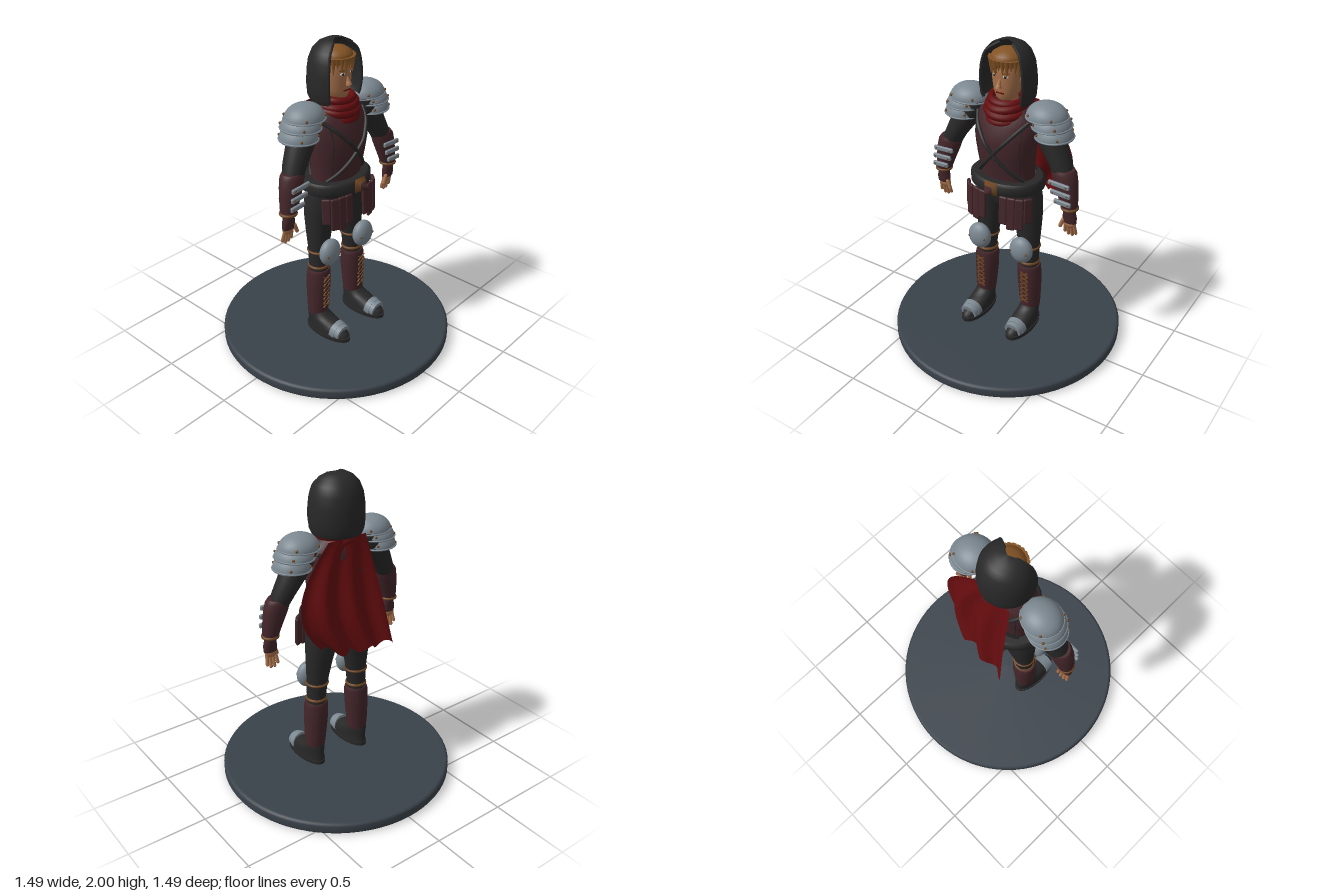
import * as THREE from 'three';
import { RoundedBoxGeometry } from 'three/addons/geometries/RoundedBoxGeometry.js';

const mat = (name, color, side = THREE.FrontSide) => {
  const m = new THREE.MeshStandardMaterial({ color, side });
  m.name = name;
  return m;
};

// Smooth closed body from horizontal oval rings [y, cx, cz, rx, rz], bottom to top
function loft(rings, s = 1, seg = 28) {
  const pos = [], idx = [];
  const ring = ([y, cx, cz, rx, rz]) => {
    for (let i = 0; i < seg; i++) {
      const a = (i / seg) * Math.PI * 2;
      pos.push(cx * s + rx * Math.cos(a), y, cz + rz * Math.sin(a));
    }
  };
  rings.forEach(ring);
  for (let r = 0; r < rings.length - 1; r++) for (let i = 0; i < seg; i++) {
    const j = (i + 1) % seg, a = r * seg + i, b = r * seg + j;
    idx.push(a, a + seg, b, b, a + seg, b + seg);
  }
  [rings[0], rings[rings.length - 1]].forEach((r, top) => {
    const start = pos.length / 3;
    ring(r);
    pos.push(r[1] * s, r[0], r[2]);
    for (let i = 0; i < seg; i++) {
      const a = start + i, b = start + (i + 1) % seg;
      idx.push(start + seg, top ? b : a, top ? a : b);
    }
  });
  const g = new THREE.BufferGeometry();
  g.setAttribute('position', new THREE.Float32BufferAttribute(pos, 3));
  g.setIndex(idx);
  g.computeVertexNormals();
  return g;
}

// Depth of a lofted body at (x, y); dir 1 = front, -1 = back
function surfaceZ(rings, x, y, dir = 1) {
  let k = 0;
  while (k < rings.length - 2 && rings[k + 1][0] < y) k++;
  const t = (y - rings[k][0]) / (rings[k + 1][0] - rings[k][0]);
  const [, , cz, rx, rz] = rings[k].map((v, i) => v + (rings[k + 1][i] - v) * t);
  return cz + dir * rz * Math.sqrt(Math.max(0, 1 - (x / rx) ** 2));
}

export function createModel() {
  const root = new THREE.Group();
  root.name = 'hoodedWarrior';
  const black = mat('blackCloth', 0x282828, THREE.DoubleSide), maroon = mat('maroonLeather', 0x44262a);
  const red = mat('redCloth', 0x640c0e, THREE.DoubleSide), steel = mat('steel', 0x7c8891, THREE.DoubleSide);
  const stone = mat('slateBase', 0x3a424a), skin = mat('skin', 0xa8714b);
  const brown = mat('brownLeather', 0x704622), hair = mat('hair', 0x835324), white = mat('eyeWhite', 0xc8c8c4);

  const add = (name, geo, m, p = [0, 0, 0], r = [0, 0, 0], sc = [1, 1, 1]) => {
    const mesh = new THREE.Mesh(geo, m);
    mesh.name = name;
    mesh.position.set(...p);
    mesh.rotation.set(...r);
    mesh.scale.set(...sc);
    root.add(mesh);
    return mesh;
  };
  const ball = (name, m, p, sc) => add(name, new THREE.SphereGeometry(1, 24, 16), m, p, [0, 0, 0], sc);
  const hoop = (name, m, p, r, tube, sc = [1, 1, 1], rot = [Math.PI / 2, 0, 0]) =>
    add(name, new THREE.TorusGeometry(r, tube, 10, 36), m, p, rot, sc);
  const tube = (name, m, pts, r) => add(name, new THREE.TubeGeometry(
    new THREE.CatmullRomCurve3(pts.map(p => new THREE.Vector3(...p))), 24, r, 8), m);

  // Display base
  add('base', new THREE.LatheGeometry([[0, 0.005], [0.725, 0.005], [0.738, 0.01], [0.745, 0.022], [0.745, 0.062],
    [0.738, 0.074], [0.725, 0.08], [0, 0.08]].map(p => new THREE.Vector2(...p)), 72), stone);

  // Torso, pelvis and belt
  const body = [[1.08, 0, 0, 0.185, 0.12], [1.18, 0, 0, 0.175, 0.13], [1.3, 0, 0.01, 0.185, 0.145],
    [1.42, 0, 0.015, 0.2, 0.155], [1.52, 0, 0, 0.205, 0.14], [1.58, 0, -0.01, 0.18, 0.115], [1.64, 0, -0.01, 0.09, 0.08]];
  add('vest', loft(body, 1, 40), maroon);
  add('pelvis', loft([[0.93, 0, -0.015, 0.1, 0.07], [0.98, 0, -0.015, 0.19, 0.105],
    [1.05, 0, -0.01, 0.215, 0.12], [1.12, 0, 0, 0.2, 0.125]]), black);
  add('belt', loft([[1.085, 0, 0, 0.225, 0.17], [1.1, 0, 0, 0.24, 0.19], [1.15, 0, 0, 0.24, 0.19],
    [1.165, 0, 0, 0.225, 0.17]], 1, 40), black);
  add('buckle', new THREE.CylinderGeometry(0.035, 0.062, 0.03, 4), brown, [0, 1.135, 0.205], [Math.PI / 2, Math.PI / 4, 0]);
  add('buckleCentre', new THREE.ConeGeometry(0.035, 0.04, 4), maroon, [0, 1.135, 0.24], [Math.PI / 2, Math.PI / 4, 0]);

  // Head and face
  add('neck', new THREE.CylinderGeometry(0.055, 0.06, 0.14, 20), skin, [0, 1.62, -0.01]);
  const head = [[1.65, 0, 0.025, 0.04, 0.035], [1.67, 0, 0.015, 0.062, 0.06], [1.71, 0, 0.005, 0.08, 0.08],
    [1.76, 0, 0, 0.09, 0.087], [1.82, 0, 0, 0.096, 0.09], [1.88, 0, 0, 0.094, 0.088], [1.92, 0, 0, 0.075, 0.07]];
  add('head', loft(head), skin);
  add('nose', new THREE.ConeGeometry(0.019, 0.07, 8), skin, [0, 1.775, 0.09], [-0.3, 0, 0]);
  ball('noseTip', skin, [0, 1.752, 0.1], [0.016, 0.012, 0.014]);
  add('mouth', new THREE.BoxGeometry(0.05, 0.008, 0.008), red, [0, 1.708, 0.083]);
  add('hairCap', loft([[1.865, 0, 0, 0.097, 0.093], [1.9, 0, 0, 0.101, 0.1], [1.925, 0, 0, 0.09, 0.092],
    [1.945, 0, 0, 0.06, 0.06], [1.953, 0, 0, 0.02, 0.02]]), hair);
  for (let i = -5; i <= 5; i++) {
    const a = i * 0.25, len = 0.065 + 0.02 * ((i + 6) % 3);
    add('hairLock', new THREE.ConeGeometry(0.019, len, 6), hair,
      [Math.sin(a) * 0.097, 1.905 - len / 2, Math.cos(a) * 0.098], [Math.PI, 0, 0]);
  }

  // Hood, open at the front
  const gap = 1.08;
  add('hood', new THREE.LatheGeometry([[0.15, 1.64], [0.163, 1.67], [0.168, 1.73], [0.166, 1.81], [0.156, 1.88],
    [0.134, 1.935], [0.1, 1.972], [0.055, 1.994], [0, 2]].map(p => new THREE.Vector2(...p)), 40, gap, Math.PI * 2 - 2 * gap),
    black, [0, 0, -0.005]);
  for (const s of [-1, 1]) {
    const at = (r, y) => [s * r * Math.sin(gap), y, r * Math.cos(gap) - 0.005];
    tube('hoodRim', black, [at(0.145, 1.65), at(0.161, 1.73), at(0.158, 1.82), at(0.148, 1.88), at(0.125, 1.935), at(0.05, 1.985)], 0.009);
  }

  // Wrapped scarf
  [[1.655, 0.095, 0.022], [1.625, 0.108, 0.024], [1.59, 0.113, 0.025], [1.555, 0.108, 0.024]].forEach(([y, r, t], i) =>
    hoop('scarfFold', red, [0, y, 0.003 + i * 0.003], r, t, [1.02, 1, 1.1], [Math.PI / 2 + 0.08 + i * 0.03, i % 2 ? 0.05 : -0.05, 0]));

  // Cape: a pleated sheet swept towards the left side
  const cape = new THREE.PlaneGeometry(1, 1, 56, 24), cp = cape.attributes.position;
  for (let i = 0; i < cp.count; i++) {
    const u = cp.getX(i) + 0.5, v = 0.5 - cp.getY(i);
    const left = -0.13 - 0.09 * v, right = 0.14 + 0.27 * Math.sin(v * 2.25) - 0.11 * v * v;
    const hem = 0.022 * Math.sin(u * 22) * v ** 6;
    const y = 1.63 - (0.68 - 0.05 * u * u) * v + hem;
    const z = -0.115 - 0.145 * v + 0.075 * v * u ** 4 + 0.024 * Math.min(1, v * 1.6) * Math.sin(u * 17 - 1.6);
    cp.setXYZ(i, left + (right - left) * u, y, z);
  }
  cape.computeVertexNormals();
  add('cape', cape, red);

  for (const s of [-1, 1]) {
    // Eyes and brows
    add('eyeWhite', new THREE.SphereGeometry(1, 16, 10), white, [s * 0.037, 1.81, 0.081], [0, s * 0.35, 0], [0.016, 0.009, 0.006]);
    ball('pupil', black, [s * 0.036, 1.81, 0.086], [0.007, 0.008, 0.004]);
    add('eyebrow', new THREE.BoxGeometry(0.042, 0.009, 0.009), hair, [s * 0.038, 1.832, 0.083], [0, s * 0.35, s * 0.1]);
    ball('ear', skin, [s * 0.096, 1.785, -0.005], [0.012, 0.03, 0.02]);

    // Crossed chest straps and vest seams, front and back
    for (const dir of [1, -1]) {
      const pts = [], seam = [];
      for (let i = 0; i <= 8; i++) {
        const t = i / 8, x = s * (0.175 - 0.33 * t), y = 1.55 - 0.38 * t;
        pts.push([x, y, surfaceZ(body, x, y, dir) + dir * 0.006]);
        const sx = s * (0.155 - 0.02 * t), sy = 1.52 - 0.35 * t;
        seam.push([sx, sy, surfaceZ(body, sx, sy, dir)]);
      }
      tube('chestStrap', black, pts, 0.012);
      tube('vestSeam', black, seam, 0.004);
    }

    // Hanging leather strips below the belt
    [[0.075, 0.19, 0.172, 0.1], [0.125, 0.22, 0.163, 0.25], [0.175, 0.21, 0.15, 0.45], [0.213, 0.17, 0.115, 0.9]].forEach(([x, h, z, ry]) =>
      add('beltStrip', new RoundedBoxGeometry(0.054, h, 0.022, 3, 0.01), maroon, [s * x, 1.09 - h / 2, z], [-0.04, s * ry, 0]));

    // Legs
    add('leg', loft([[0.5, 0.16, -0.005, 0.058, 0.06], [0.6, 0.158, -0.005, 0.062, 0.062], [0.7, 0.152, -0.008, 0.07, 0.066],
      [0.82, 0.143, -0.014, 0.084, 0.08], [0.93, 0.13, -0.018, 0.1, 0.094], [1.03, 0.115, -0.015, 0.108, 0.108],
      [1.1, 0.11, -0.01, 0.1, 0.1]], s), black);
    add('shinGuard', loft([[0.22, 0.172, -0.002, 0.062, 0.066], [0.28, 0.17, -0.003, 0.068, 0.07], [0.42, 0.164, -0.003, 0.077, 0.077],
      [0.52, 0.16, -0.003, 0.077, 0.075], [0.54, 0.16, -0.003, 0.07, 0.068]], s), maroon);
    for (let i = 0; i < 7; i++) for (const d of [-1, 1])
      add('lace', new THREE.BoxGeometry(0.06, 0.006, 0.008), brown, [s * 0.167, 0.29 + i * 0.034, 0.068 + i * 0.001], [0, 0, d * 0.5]);
    hoop('calfStrap', brown, [s * 0.158, 0.565, -0.005], 0.058, 0.011);
    hoop('kneeStrap', brown, [s * 0.154, 0.675, -0.006], 0.066, 0.009);
    ball('kneeGuard', steel, [s * 0.155, 0.69, 0.09], [0.079, 0.088, 0.052]);
    for (const d of [-1, 1]) ball('kneeRivet', brown, [s * 0.155 + d * 0.055, 0.69, 0.127], [0.007, 0.007, 0.007]);

    // Boots
    add('sole', loft([[0.093, 0.172, 0.09, 0.075, 0.172], [0.118, 0.172, 0.09, 0.076, 0.174]], s), black);
    add('boot', loft([[0.115, 0.172, 0.088, 0.07, 0.166], [0.145, 0.172, 0.086, 0.07, 0.16], [0.175, 0.172, 0.062, 0.067, 0.135],
      [0.2, 0.172, 0.025, 0.063, 0.1], [0.22, 0.172, 0.003, 0.06, 0.074], [0.245, 0.172, -0.003, 0.058, 0.064]], s), black);
    [0.17, 0.2].forEach((z, i) => add('toePlate', new THREE.CylinderGeometry(0.064 - i * 0.006, 0.067 - i * 0.006, 0.036, 24, 1, false),
      steel, [s * 0.172, 0.14, z], [Math.PI / 2 + 0.15, 0, 0], [1, 1, 0.95 - i * 0.08]));

    // Arms
    add('upperArm', loft([[1.27, 0.395, 0.025, 0.062, 0.06], [1.33, 0.372, 0.015, 0.07, 0.072], [1.42, 0.32, 0.005, 0.085, 0.08],
      [1.5, 0.275, 0, 0.095, 0.085], [1.58, 0.24, 0, 0.09, 0.085], [1.63, 0.23, 0, 0.05, 0.05]], s), black);
    add('bracer', loft([[1.085, 0.452, 0.04, 0.05, 0.05], [1.15, 0.438, 0.037, 0.062, 0.058], [1.23, 0.418, 0.032, 0.075, 0.066],
      [1.29, 0.402, 0.027, 0.078, 0.068], [1.312, 0.396, 0.025, 0.068, 0.06]], s), maroon);
    [[1.24, 0.408, 0.14], [1.183, 0.421, 0.13], [1.127, 0.436, 0.11]].forEach(([y, x, w]) => {
      add('bracerPlate', new RoundedBoxGeometry(w, 0.03, 0.02, 3, 0.008), steel, [s * x, y, 0.1], [0, 0, -s * 0.05]);
      for (const d of [-1, 1]) ball('bracerRivet', brown, [s * x + d * w * 0.36, y, 0.11], [0.006, 0.006, 0.005]);
    });
    hoop('wristBand', brown, [s * 0.455, 1.075, 0.04], 0.045, 0.01);

    // Gloved hands with bare fingers
    add('glove', loft([[0.975, 0.458, 0.04, 0.044, 0.024], [1.01, 0.458, 0.042, 0.046, 0.028], [1.045, 0.456, 0.042, 0.038, 0.032],
      [1.08, 0.455, 0.042, 0.038, 0.036]], s), maroon);
    ball('palm', skin, [s * 0.456, 0.965, 0.037], [0.042, 0.03, 0.021]);
    [-1.5, -0.5, 0.5, 1.5].forEach((k, i) => add('finger', new THREE.CapsuleGeometry(0.0105, [0.065, 0.08, 0.08, 0.06][i], 4, 10), skin,
      [s * (0.457 + k * 0.022), 0.928 - (i % 3 ? 0.008 : 0), 0.03], [0.22, 0, s * k * 0.07]));
    add('thumb', new THREE.CapsuleGeometry(0.012, 0.05, 4, 10), skin, [s * 0.413, 0.965, 0.055], [0, 0, -s * 0.35]);

    // Layered shoulder armour
    [[0.265, 1.595, 0.125, 0.09, 0.115], [0.298, 1.548, 0.115, 0.085, 0.121], [0.316, 1.485, 0.112, 0.1, 0.115]].forEach(([x, y, rx, ry, rz]) => {
      add('shoulderPlate', new THREE.SphereGeometry(1, 32, 12, 0, Math.PI * 2, 0, Math.PI / 2), steel, [s * x, y, 0], [0, 0, -s * 0.04], [rx, ry, rz]);
      hoop('shoulderRim', steel, [s * x, y, 0], 1, 0.05, [rx, rz, 0.1], [Math.PI / 2, s * 0.04, 0]);
      for (const d of [-1, 1]) for (const k of [-0.6, 0.6])
        ball('shoulderRivet', brown, [s * x + k * rx, y + 0.022, d * rz * 0.78], [0.008, 0.008, 0.008]);
    });
  }
  return root;
}
